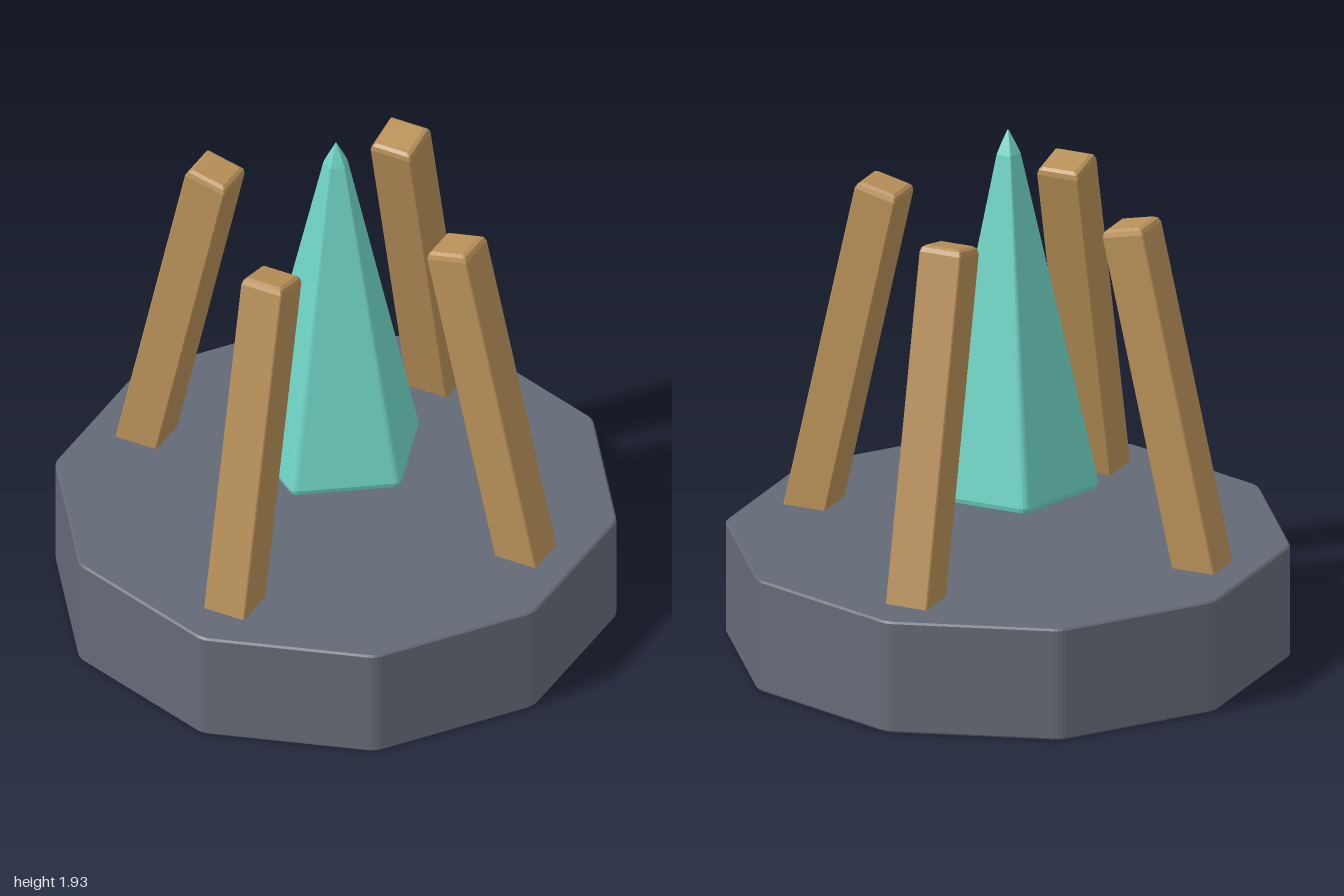
import * as THREE from 'three';

// Regular polygon with softened corners, first corner at +z
function roundedPolygon(sides, apothem, round, steps = 3) {
  const radius = (apothem - round) / Math.cos(Math.PI / sides);
  const points = [];
  for (let i = 0; i < sides; i++) {
    const a = (i / sides) * Math.PI * 2;
    for (let k = 0; k <= steps; k++) {
      const b = a + (k / steps - 0.5) * (Math.PI * 2 / sides);
      points.push([
        radius * Math.sin(a) + round * Math.sin(b),
        radius * Math.cos(a) + round * Math.cos(b),
      ]);
    }
  }
  return points;
}

// Stacks scaled copies of an outline; profile holds [scale, y] from bottom to top
function loft(outline, profile) {
  const n = outline.length;
  const positions = [];
  const index = [];
  for (const [s, y] of profile) for (const [x, z] of outline) positions.push(x * s, y, z * s);
  for (let r = 0; r < profile.length - 1; r++) {
    for (let j = 0; j < n; j++) {
      const a = r * n + j;
      const b = r * n + (j + 1) % n;
      if (profile[r][0] > 0) index.push(a, b, b + n);
      if (profile[r + 1][0] > 0) index.push(a, b + n, a + n);
    }
  }
  const geometry = new THREE.BufferGeometry();
  geometry.setAttribute('position', new THREE.Float32BufferAttribute(positions, 3));
  geometry.setIndex(index);
  geometry.computeVertexNormals();
  return geometry;
}

function part(name, geometry, color) {
  const material = new THREE.MeshStandardMaterial({ color, flatShading: true });
  const mesh = new THREE.Mesh(geometry, material);
  mesh.name = name;
  return mesh;
}

export function createModel() {
  const model = new THREE.Group();
  model.name = 'crystalPedestal';

  // Ten-sided base slab
  const baseProfile = [[0, 0], [0.993, 0], [1, 0.007], [1, 0.408], [0.993, 0.415], [0, 0.415]];
  model.add(part('base', loft(roundedPolygon(10, 0.955, 0.08), baseProfile), 0x646a76));

  // Floating five-sided crystal
  const crystalProfile = [[0, 0.595], [0.95, 0.595], [0.985, 0.601], [1, 0.618], [0.14, 1.84], [0.09, 1.874], [0, 1.93]];
  model.add(part('crystal', loft(roundedPolygon(5, 0.265, 0.03), crystalProfile), 0x6fd3c5));

  // Four square posts leaning inwards, feet sunk into the base
  const length = 1.59;
  const postProfile = [[0, 0], [1, 0], [1, length - 0.025], [0.93, length - 0.008], [0.78, length], [0, length]];
  const postGeometry = loft(roundedPolygon(4, 0.08, 0.004, 1), postProfile);
  postGeometry.rotateY(Math.PI / 4);
  postGeometry.rotateX(-0.222);
  postGeometry.translate(0, 0.1, 0.827);
  ['frontPost', 'leftPost', 'backPost', 'rightPost'].forEach((name, i) => {
    const post = part(name, postGeometry, 0xb89058);
    post.rotation.y = (i * Math.PI) / 2;
    model.add(post);
  });

  return model;
}
